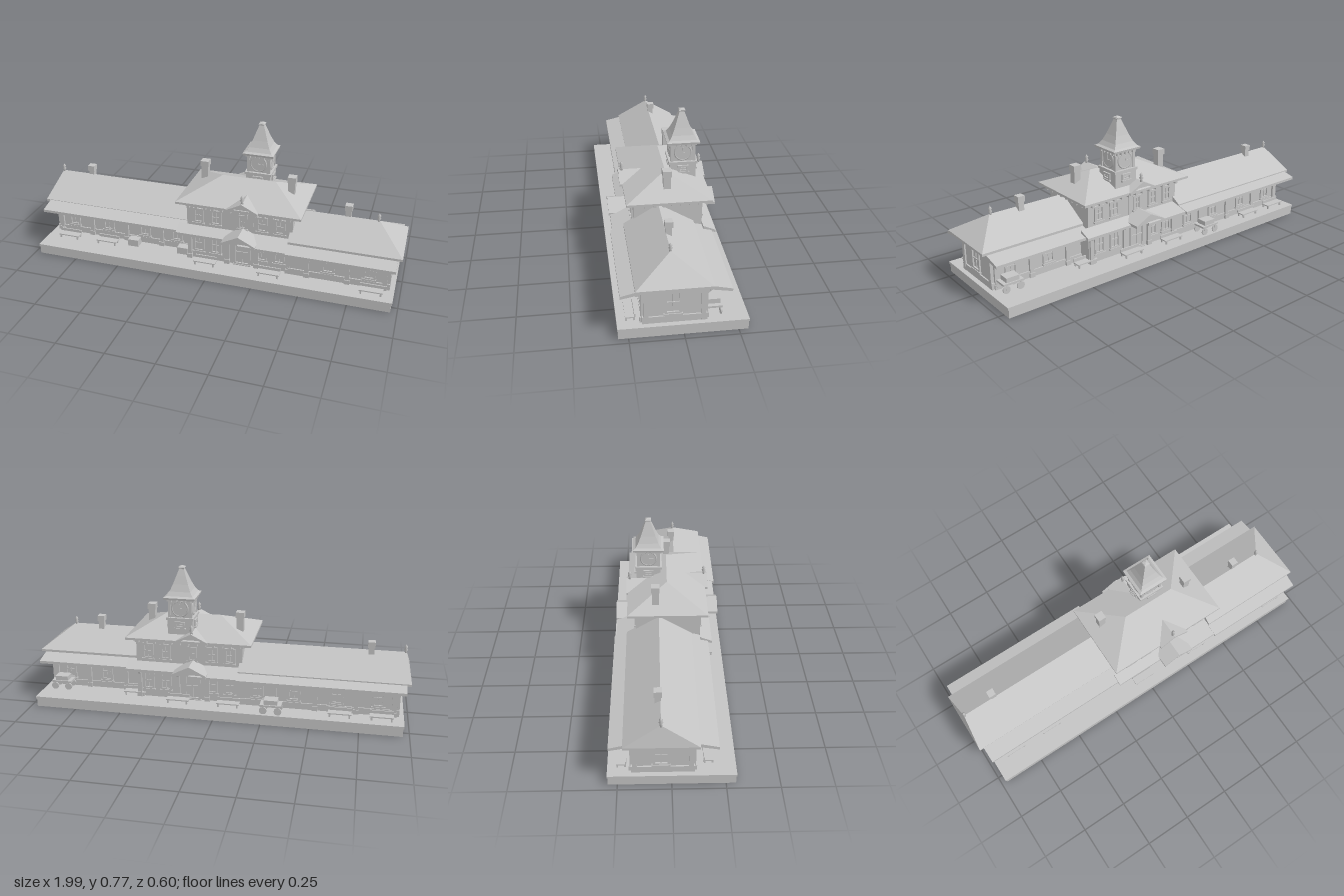
import * as THREE from 'three';
import { ConvexGeometry } from 'three/addons/geometries/ConvexGeometry.js';

const stone = new THREE.MeshStandardMaterial({ color: 0xc4c4c4 });
stone.name = 'plain grey';

function add(parent, name, geometry, x = 0, y = 0, z = 0) {
  const m = new THREE.Mesh(geometry, stone);
  m.name = name;
  m.position.set(x, y, z);
  parent.add(m);
  return m;
}

// Box given by its limits on each axis
function block(parent, name, x0, x1, y0, y1, z0, z1) {
  return add(parent, name, new THREE.BoxGeometry(x1 - x0, y1 - y0, z1 - z0),
    (x0 + x1) / 2, (y0 + y1) / 2, (z0 + z1) / 2);
}

function group(parent, name, x = 0, y = 0, z = 0, turn = 0) {
  const g = new THREE.Group();
  g.name = name;
  g.position.set(x, y, z);
  g.rotation.y = turn;
  parent.add(g);
  return g;
}

function hull(parent, name, points) {
  return add(parent, name, new ConvexGeometry(points.map(p => new THREE.Vector3(...p))));
}

// Roof with a ridge along x; r0 and r1 are the ridge ends
function ridgeRoof(parent, name, x0, x1, z0, z1, eave, top, r0, r1, rz) {
  const pts = [[r0, top, rz], [r1, top, rz]];
  for (const x of [x0, x1]) for (const z of [z0, z1]) pts.push([x, eave, z], [x, eave - 0.012, z]);
  hull(parent, name, pts);
}

// Sloping canopy between a wall line and its outer edge
function canopy(parent, x0, x1, zIn, zOut) {
  const pts = [];
  for (const x of [x0, x1]) pts.push([x, 0.256, zIn], [x, 0.236, zIn], [x, 0.23, zOut], [x, 0.216, zOut]);
  hull(parent, 'canopy', pts);
}

// Curved timber bracket with its pilaster, reaching out along +z
function bracket(parent, x, z, reach, turn = 0) {
  const g = group(parent, 'bracket', x, 0, z, turn);
  block(g, 'pilaster', -0.011, 0.011, 0.055, 0.24, -0.004, 0.012);
  block(g, 'pilasterFoot', -0.014, 0.014, 0.055, 0.08, -0.004, 0.017);
  const s = new THREE.Shape();
  s.moveTo(0, 0.155);
  s.quadraticCurveTo(0.015, 0.21, reach, 0.216);
  s.lineTo(reach, 0.228);
  s.quadraticCurveTo(0.035, 0.226, 0.018, 0.19);
  s.lineTo(0.018, 0.24);
  s.lineTo(0, 0.24);
  const arm = add(g, 'curvedArm', new THREE.ExtrudeGeometry(s, { depth: 0.012, bevelEnabled: false, curveSegments: 8 }), 0.006);
  arm.rotation.y = -Math.PI / 2;
}

// Framed window or door standing on height y, facing +z before its turn
function opening(parent, name, x, y, z, w, h, turn = 0) {
  const g = group(parent, name, x, y, z, turn);
  const s = new THREE.Shape([[-w / 2, 0], [w / 2, 0], [w / 2, h], [-w / 2, h]].map(p => new THREE.Vector2(...p)));
  const t = 0.011;
  s.holes.push(new THREE.Path([[-w / 2 + t, t], [-w / 2 + t, h - t], [w / 2 - t, h - t], [w / 2 - t, t]].map(p => new THREE.Vector2(...p))));
  add(g, 'frame', new THREE.ExtrudeGeometry(s, { depth: 0.008, bevelEnabled: false }));
  block(g, 'mullion', -0.002, 0.002, t, h - t, 0, 0.004);
  block(g, 'crossbar', -w / 2 + t, w / 2 - t, h / 2 - 0.003, h / 2 + 0.003, 0, 0.005);
  block(g, 'sill', -w / 2 - 0.004, w / 2 + 0.004, -0.006, 0.003, 0, 0.012);
}

// Row of small blocks beneath an eave
function dentils(parent, x0, x1, y, z, n, depth = 0.02) {
  for (let i = 0; i < n; i++) {
    const x = x0 + (x1 - x0) * i / (n - 1);
    block(parent, 'eaveBlock', x - 0.007, x + 0.007, y - 0.02, y, z - 0.005, z + depth);
  }
}

function chimney(parent, x, z, y0, y1, r) {
  block(parent, 'chimneyStack', x - r, x + r, y0, y1 - 0.02, z - r, z + r);
  block(parent, 'chimneyCap', x - r - 0.004, x + r + 0.004, y1 - 0.03, y1, z - r - 0.004, z + r + 0.004);
}

function finial(parent, x, y, z, s = 1) {
  const p = [[0, 0], [0.009, 0], [0.005, 0.012], [0.011, 0.022], [0.005, 0.03], [0.01, 0.037], [0.004, 0.045], [0, 0.052]];
  add(parent, 'finial', new THREE.LatheGeometry(p.map(q => new THREE.Vector2(q[0] * s, q[1] * s)), 10), x, y, z);
}

// Gable projecting along +z, with a roof chevron over a recessed face
function gable(parent, name, x, half, y0, y1, z0, z1) {
  const g = group(parent, name, x, 0, 0);
  const roof = new THREE.Shape([[-half, y0], [0, y1 - 0.013], [half, y0], [half, y0 + 0.013], [0, y1], [-half, y0 + 0.013]].map(p => new THREE.Vector2(...p)));
  add(g, 'gableRoof', new THREE.ExtrudeGeometry(roof, { depth: z1 - z0, bevelEnabled: false }), 0, 0, z0);
  const face = new THREE.Shape([[-half, y0], [half, y0], [0, y1 - 0.012]].map(p => new THREE.Vector2(...p)));
  add(g, 'gableFace', new THREE.ExtrudeGeometry(face, { depth: z1 - z0 - 0.018, bevelEnabled: false }), 0, 0, z0);
}

function bench(parent, x, z, turn) {
  const g = group(parent, 'bench', x, 0.055, z, turn);
  block(g, 'seat', -0.06, 0.06, 0.018, 0.024, -0.02, 0.025);
  block(g, 'backrest', -0.06, 0.06, 0.024, 0.04, -0.022, -0.016);
  for (const sx of [-0.05, 0.05]) for (const sz of [-0.016, 0.02]) block(g, 'leg', sx - 0.004, sx + 0.004, 0, 0.018, sz - 0.004, sz + 0.004);
}

function cart(parent, x, z) {
  const g = group(parent, 'luggageCart', x, 0.055, z);
  block(g, 'cartBed', -0.055, 0.055, 0.042, 0.052, -0.035, 0.035);
  block(g, 'luggage', -0.035, 0.035, 0.052, 0.076, -0.028, 0.028);
  for (const sx of [-0.038, 0.038]) for (const sz of [-0.03, 0.03]) {
    add(g, 'wheel', new THREE.CylinderGeometry(0.02, 0.02, 0.007, 12), sx, 0.02, sz).rotation.x = Math.PI / 2;
    block(g, 'cartPost', sx - 0.004, sx + 0.004, 0.02, 0.045, sz - 0.004, sz + 0.004);
  }
}

// Long single-storey wing running along +x
function wing(parent, name, turn, inner, ridgeEnd, eave, top) {
  const g = group(parent, name, 0, 0, 0, turn);
  block(g, 'wingWalls', inner, 0.94, 0.05, eave - 0.005, -0.1, 0.18);
  block(g, 'plinth', inner, 0.947, 0.05, 0.09, -0.107, 0.187);
  ridgeRoof(g, 'wingRoof', inner, 0.995, -0.127, 0.22, eave, top, inner, ridgeEnd, 0.048);
  canopy(g, inner, 0.972, -0.1, -0.212);
  canopy(g, inner, 0.972, 0.18, 0.285);
  for (const x of [0.92, 0.73, 0.52, 0.31]) if (x > inner) {
    bracket(g, x, 0.18, 0.09);
    bracket(g, x, -0.1, 0.098, Math.PI);
  }
  for (const x of [0.84, 0.63, 0.41, 0.22]) if (x > inner + 0.03) {
    opening(g, 'window', x, 0.1, -0.1, 0.065, 0.1, Math.PI);
    opening(g, 'window', x, 0.1, 0.18, 0.065, 0.1);
  }
  const end = group(g, 'endWall', 0.94, 0, 0.04, Math.PI / 2);
  opening(end, 'endWindow', -0.008, 0.1, 0, 0.078, 0.12);
  dentils(end, -0.1, 0.1, eave - 0.01, 0, 6, 0.03);
  for (const x of [-0.13, 0.13]) block(end, 'cornerPilaster', x - 0.011, x + 0.011, 0.055, eave - 0.01, -0.005, 0.008);
  finial(g, ridgeEnd - 0.005, top - 0.008, 0.048, 0.95);
  return g;
}

// One long face of the central block
function facade(parent, turn) {
  const g = group(parent, 'centralFacade', 0.15, 0, 0, turn);
  for (const x of [-0.22, -0.125, 0.125, 0.22]) {
    opening(g, 'upperWindow', x, 0.275, 0.17, 0.058, 0.085);
    opening(g, 'lowerWindow', x, 0.1, 0.17, 0.062, 0.1);
  }
  opening(g, 'middleWindow', 0.02, 0.275, 0.17, 0.05, 0.08);
  opening(g, 'door', 0.02, 0.058, 0.17, 0.09, 0.15);
  canopy(g, -0.33, 0.02, 0.17, 0.232);
  canopy(g, 0.02, 0.33, 0.17, 0.275);
  for (const x of [-0.27, -0.06]) bracket(g, x, 0.17, 0.055);
  for (const x of [0.1, 0.27]) bracket(g, x, 0.17, 0.095);
  gable(g, 'porchGable', 0.025, 0.09, 0.225, 0.283, 0.165, 0.282);
  gable(g, 'roofGable', 0.025, 0.085, 0.385, 0.441, 0.08, 0.222);
  block(g, 'gableBay', -0.03, 0.08, 0.255, 0.388, 0.16, 0.172);
  finial(g, 0.025, 0.435, 0.204);
  dentils(g, -0.27, 0.27, 0.387, 0.17, 13, 0.03);
}

function tower(parent) {
  const g = group(parent, 'clockTower', 0.195, 0, -0.1);
  block(g, 'towerBase', -0.066, 0.066, 0.38, 0.5, -0.066, 0.066);
  block(g, 'towerCornice', -0.072, 0.072, 0.495, 0.508, -0.072, 0.072);
  block(g, 'towerShaft', -0.058, 0.058, 0.5, 0.61, -0.058, 0.058);
  for (let i = 0; i < 4; i++) {
    const f = group(g, 'towerFace', 0, 0, 0, i * Math.PI / 2);
    add(f, 'clockRim', new THREE.TorusGeometry(0.041, 0.005, 6, 28), 0, 0.556, 0.059);
    add(f, 'clockDial', new THREE.CylinderGeometry(0.038, 0.038, 0.006, 28), 0, 0.556, 0.059).rotation.x = Math.PI / 2;
    block(f, 'hourHand', -0.002, 0.002, 0.556, 0.582, 0.06, 0.065);
    block(f, 'minuteHand', 0, 0.026, 0.554, 0.558, 0.06, 0.065);
    block(f, 'towerPost', 0.049, 0.063, 0.505, 0.61, 0.049, 0.063);
    opening(f, 'towerPanel', 0, 0.452, 0.066, 0.055, 0.036);
    dentils(f, -0.05, 0.05, 0.61, 0.058, 5, 0.014);
  }
  // Flared spire: a square lathe turned to lie along the axes
  const p = [[0, 0.606], [0.081, 0.606], [0.083, 0.617], [0.069, 0.624], [0.055, 0.645], [0.04, 0.68], [0.025, 0.722], [0.013, 0.755], [0.013, 0.76], [0.017, 0.763], [0.014, 0.768], [0, 0.774]];
  const spire = new THREE.LatheGeometry(p.map(q => new THREE.Vector2(q[0] * Math.SQRT2, q[1])), 4).toNonIndexed();
  spire.computeVertexNormals();
  add(g, 'spire', spire).rotation.y = Math.PI / 4;
}

export function createModel() {
  const model = new THREE.Group();
  model.name = 'railwayStation';

  // Platform
  block(model, 'platform', -0.967, 0.967, 0, 0.046, -0.294, 0.296);
  block(model, 'platformEdge', -0.972, 0.972, 0.044, 0.056, -0.297, 0.299);

  // Two offset wings
  const hipped = wing(model, 'hippedWing', 0, 0.42, 0.855, 0.265, 0.37);
  chimney(hipped, 0.695, 0.035, 0.33, 0.43, 0.015);
  const gabled = wing(model, 'gabledWing', Math.PI, 0.12, 0.968, 0.252, 0.36);
  chimney(gabled, 0.79, 0.06, 0.32, 0.41, 0.015);

  // Two-storey central block
  block(model, 'centralWalls', -0.135, 0.435, 0.05, 0.39, -0.17, 0.17);
  block(model, 'stringCourse', -0.141, 0.441, 0.364, 0.372, -0.176, 0.176);
  ridgeRoof(model, 'centralRoof', -0.187, 0.482, -0.214, 0.208, 0.398, 0.485, 0.01, 0.3, -0.003);
  for (const s of [1, -1]) {
    facade(model, s > 0 ? 0 : Math.PI);
    const side = group(model, 'centralEnd', 0.15 + s * 0.285, 0, 0, s * Math.PI / 2);
    dentils(side, -0.155, 0.155, 0.387, 0, 8, 0.03);
  }
  chimney(model, -0.107, -0.065, 0.41, 0.53, 0.018);
  chimney(model, 0.388, 0, 0.42, 0.53, 0.018);
  tower(model);

  // Platform furniture
  for (const [x, z] of [[-0.84, 0.17], [-0.61, 0.17], [-0.02, 0.22], [0.33, 0.23], [0.86, 0.235]]) bench(model, x, z, 0);
  for (const [x, z] of [[0.45, -0.16], [0.2, -0.22], [-0.07, -0.22], [-0.65, -0.23], [-0.86, -0.23]]) bench(model, x, z, Math.PI);
  for (const x of [-0.46, -0.17]) block(model, 'crate', x - 0.03, x + 0.03, 0.055, 0.095, 0.12, 0.165);
  cart(model, 0.87, -0.145);
  cart(model, -0.3, -0.25);
  return model;
}
